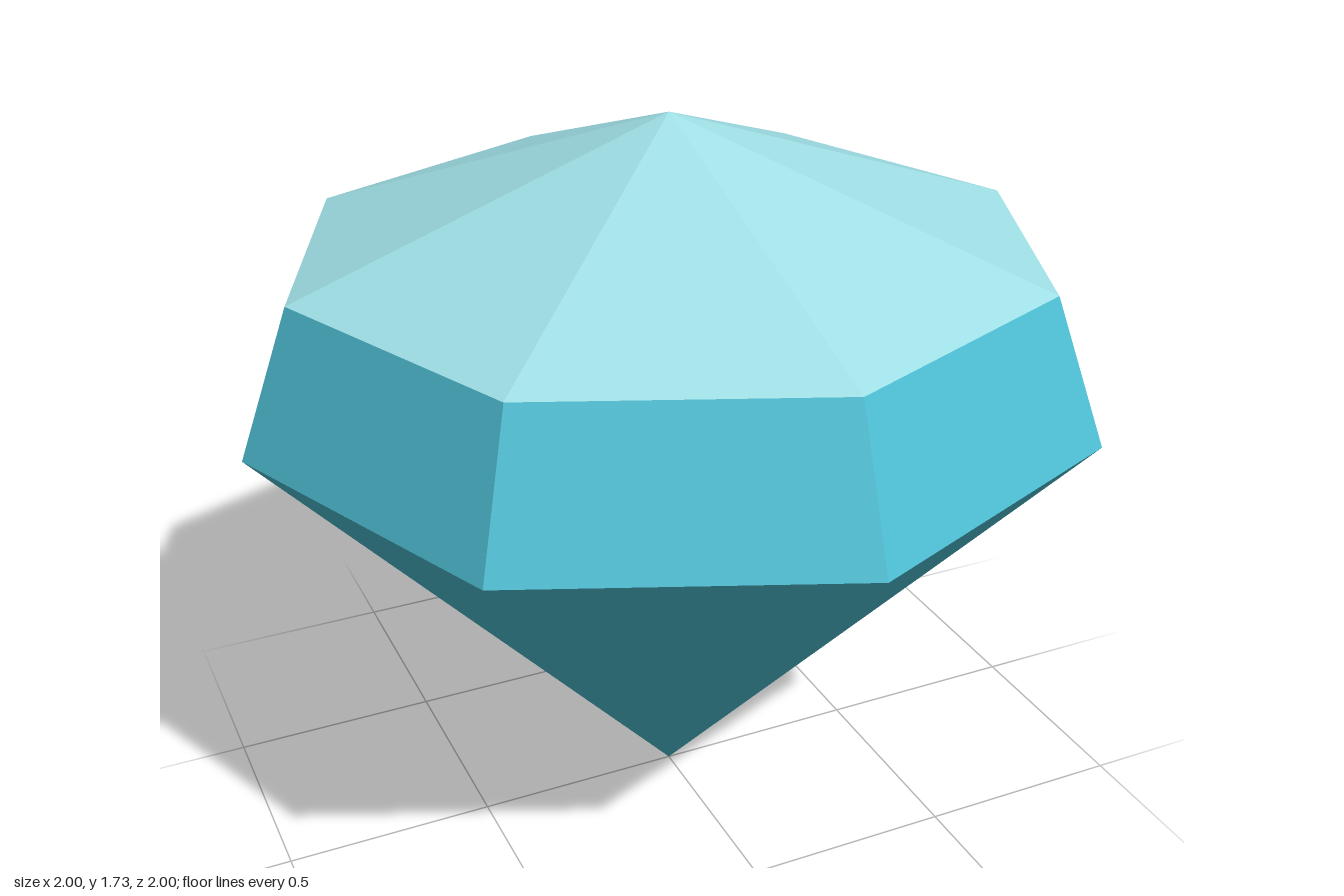
import * as THREE from 'three';

const SIDES = 8;
const TIP_Y = 0, GIRDLE_Y = 1.085, TABLE_Y = 1.42, APEX_Y = 1.725;
const GIRDLE_R = 1, TABLE_R = 0.875;

export function createModel() {
  const teal = new THREE.MeshStandardMaterial({ color: 0x4fc1d7, flatShading: true });
  teal.name = 'teal';
  const paleTeal = new THREE.MeshStandardMaterial({ color: 0x9fdfe6, flatShading: true });
  paleTeal.name = 'paleTeal';

  const gem = new THREE.Group();
  gem.name = 'gem';

  // One open ring of facets between two heights
  const facets = (name, topR, bottomR, bottomY, topY, material) => {
    const geometry = new THREE.CylinderGeometry(topR, bottomR, topY - bottomY, SIDES, 1, true);
    geometry.translate(0, (bottomY + topY) / 2, 0);
    const mesh = new THREE.Mesh(geometry, material);
    mesh.name = name;
    gem.add(mesh);
  };

  facets('pavilion', GIRDLE_R, 0, TIP_Y, GIRDLE_Y, teal);
  facets('crown', TABLE_R, GIRDLE_R, GIRDLE_Y, TABLE_Y, teal);
  facets('cap', 0, TABLE_R, TABLE_Y, APEX_Y, paleTeal);

  return gem;
}
